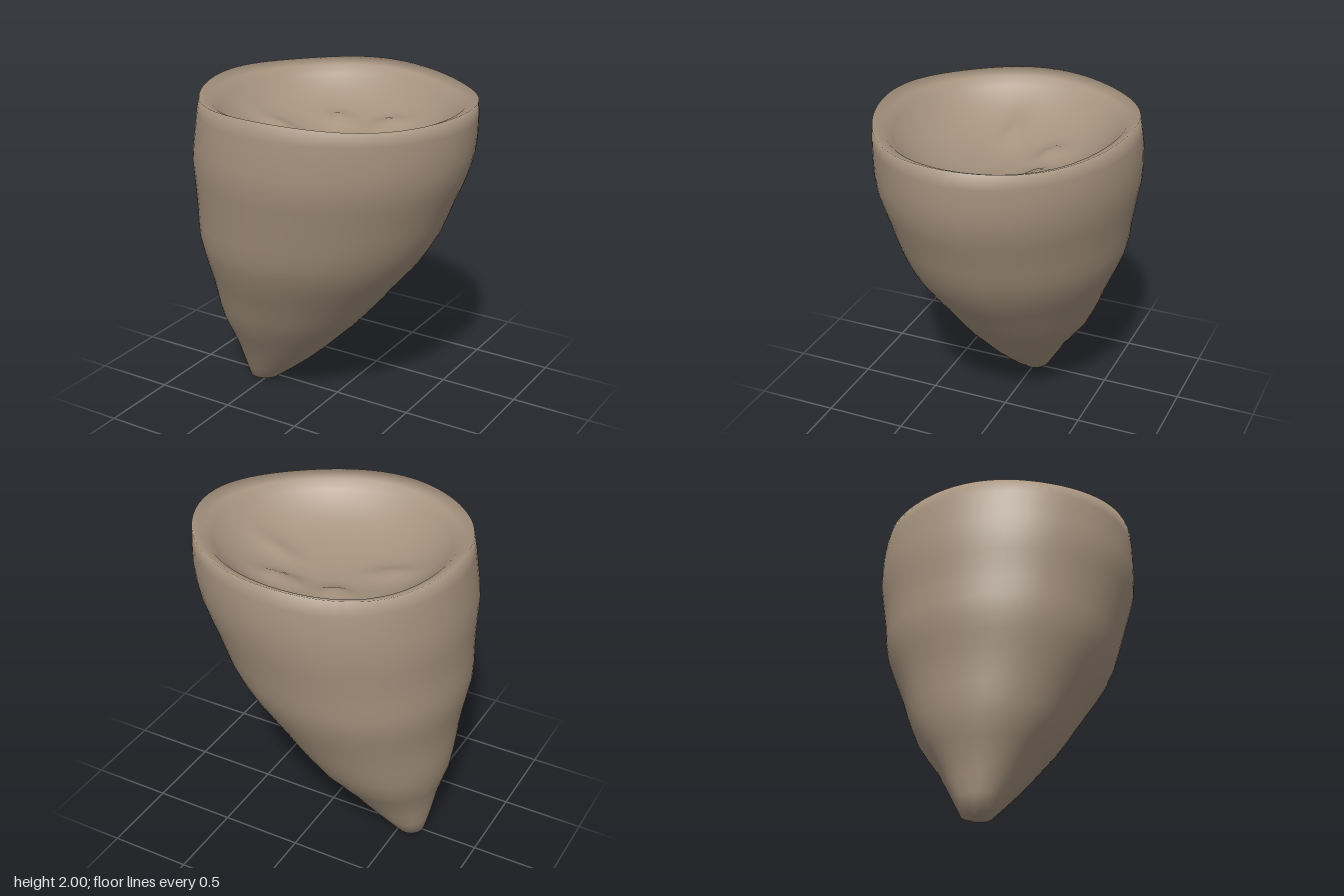
import * as THREE from 'three';

const SEGMENTS = 72;

// Outer wall rings: [y, x min, x max, z min, z max]
const wallRings = [
  [0, -0.64, -0.45, -0.08, 0.10],
  [0.1, -0.665, -0.32, -0.14, 0.155],
  [0.2, -0.685, -0.2, -0.2, 0.215],
  [0.3, -0.705, -0.09, -0.26, 0.275],
  [0.4, -0.735, 0.01, -0.335, 0.34],
  [0.5, -0.765, 0.11, -0.405, 0.405],
  [0.6, -0.78, 0.2, -0.455, 0.455],
  [0.7, -0.79, 0.285, -0.5, 0.5],
  [0.8, -0.797, 0.365, -0.54, 0.55],
  [0.9, -0.812, 0.45, -0.585, 0.6],
  [1.0, -0.83, 0.53, -0.63, 0.645],
  [1.1, -0.847, 0.595, -0.67, 0.68],
  [1.2, -0.85, 0.65, -0.695, 0.70],
  [1.3, -0.845, 0.692, -0.71, 0.72],
  [1.4, -0.845, 0.73, -0.73, 0.74],
  [1.5, -0.848, 0.775, -0.75, 0.76],
  [1.6, -0.85, 0.812, -0.77, 0.78],
  [1.7, -0.84, 0.835, -0.778, 0.783],
  [1.8, -0.825, 0.845, -0.78, 0.78],
  [1.9, -0.81, 0.848, -0.77, 0.775],
  [2.0, -0.79, 0.845, -0.755, 0.765],
];

// Bowl rings: [fraction of the rim radius, depth below the rim]
const bowlRings = [
  [0.91, 0.035], [0.85, 0.085], [0.78, 0.135], [0.7, 0.18], [0.62, 0.215],
  [0.54, 0.242], [0.46, 0.262], [0.39, 0.277], [0.32, 0.288], [0.25, 0.296],
  [0.18, 0.303], [0.11, 0.308], [0.05, 0.31],
];

// Soft lumps on the bowl floor: [x, z, x radius, z radius, height]
const lumps = [
  [-0.14, -0.24, 0.11, 0.08, 0.045],
  [0.2, -0.27, 0.13, 0.08, 0.045],
  [-0.34, 0.08, 0.14, 0.08, 0.035],
  [0.4, 0.02, 0.15, 0.07, 0.025],
];

// Point on an egg-shaped section, widest a little towards -x
function sectionPoint([y, x0, x1, z0, z1], angle) {
  const c = Math.cos(angle), s = Math.sin(angle);
  const half = (x1 - x0) / 2;
  return [(x0 + x1) / 2 + half * (c - 0.095 * s * s), y, (z0 + z1) / 2 + ((z1 - z0) / 2) * s];
}

function lumpHeight(x, z) {
  return lumps.reduce((sum, [lx, lz, rx, rz, h]) =>
    sum + h * Math.exp(-(((x - lx) / rx) ** 2) - ((z - lz) / rz) ** 2), 0);
}

function buildShell() {
  const positions = [];
  const index = [];
  const rim = wallRings[wallRings.length - 1];
  const wave = (angle) => 0.01 * (Math.cos(4 * angle) - 1);
  const angles = Array.from({ length: SEGMENTS }, (_, i) => (i / SEGMENTS) * Math.PI * 2);

  // Leaning outer wall up to the gently waved rim
  for (const ring of wallRings) {
    for (const a of angles) {
      const [x, y, z] = sectionPoint(ring, a);
      positions.push(x, y + (ring === rim ? wave(a) : 0), z);
    }
  }
  // Hollow bowl from the rim inwards
  for (const [scale, depth] of bowlRings) {
    for (const a of angles) {
      const [rx, ry, rz] = sectionPoint(rim, a);
      const x = rx * scale, z = rz * scale;
      positions.push(x, ry - depth + wave(a) * scale ** 4 + lumpHeight(x, z), z);
    }
  }

  const rings = wallRings.length + bowlRings.length;
  for (let j = 0; j < rings - 1; j++) {
    for (let i = 0; i < SEGMENTS; i++) {
      const a = j * SEGMENTS + i, b = j * SEGMENTS + ((i + 1) % SEGMENTS);
      index.push(a, a + SEGMENTS, b, b, a + SEGMENTS, b + SEGMENTS);
    }
  }

  // Close the tip below and the bowl centre
  const tip = positions.length / 3, last = (rings - 1) * SEGMENTS;
  positions.push(-0.545, 0, 0.01, 0, 1.69, 0);
  for (let i = 0; i < SEGMENTS; i++) {
    const n = (i + 1) % SEGMENTS;
    index.push(tip, i, n, last + i, tip + 1, last + n);
  }

  const geometry = new THREE.BufferGeometry();
  geometry.setAttribute('position', new THREE.Float32BufferAttribute(positions, 3));
  geometry.setIndex(index);
  geometry.computeVertexNormals();
  return geometry;
}

export function createModel() {
  const group = new THREE.Group();
  group.name = 'hornCup';
  const material = new THREE.MeshStandardMaterial({ color: 0xa6937f });
  material.name = 'warm taupe';
  const shell = new THREE.Mesh(buildShell(), material);
  shell.name = 'cupShell';
  group.add(shell);
  return group;
}
